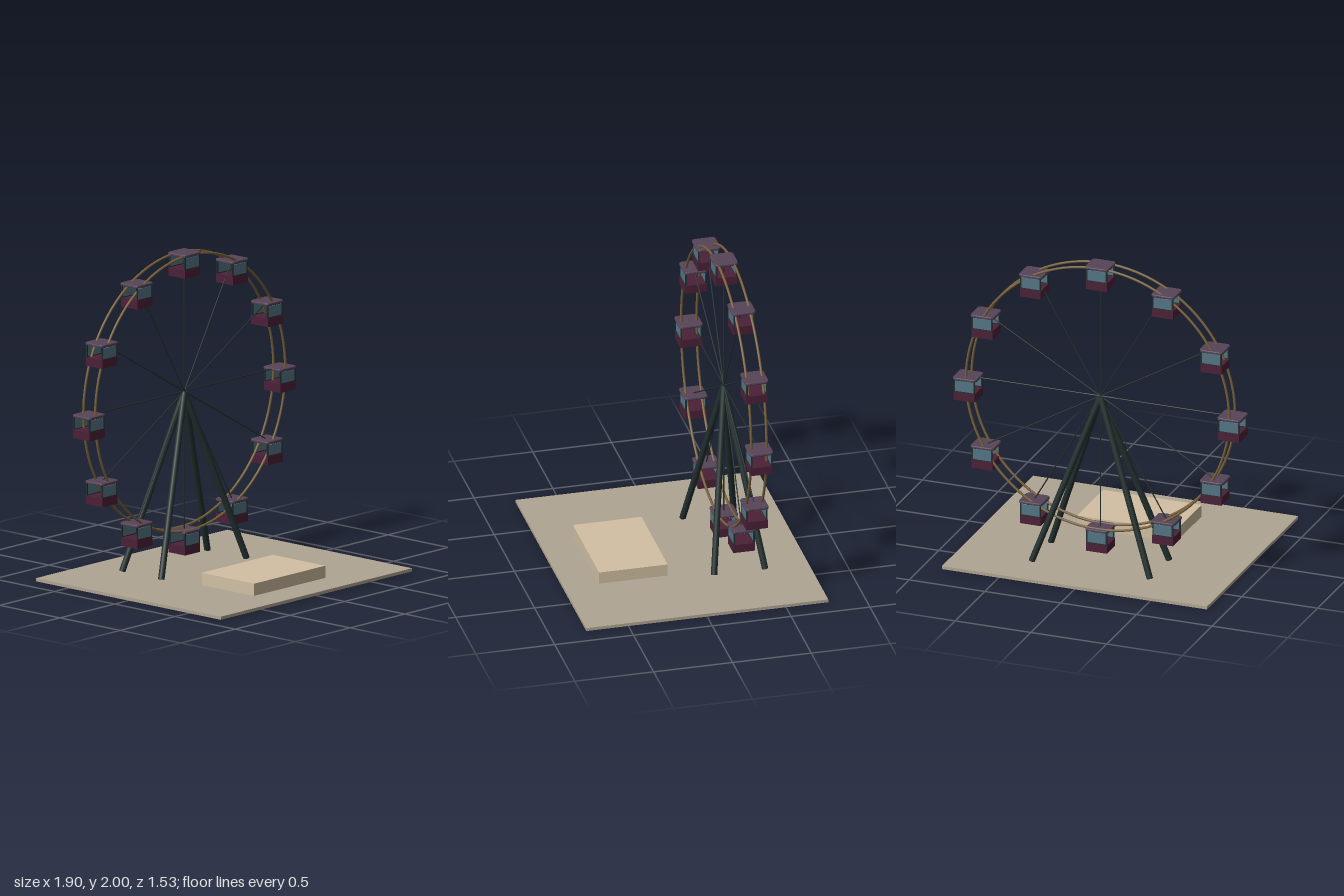
import * as THREE from 'three';

const mat = (name, color) => {
  const m = new THREE.MeshStandardMaterial({ color });
  m.name = name;
  return m;
};

export function createModel() {
  const ground = mat('ground stone', 0xb0a593);
  const sand = mat('platform sand', 0xd2c0a3);
  const steel = mat('dark steel', 0x22302f);
  const bronze = mat('bronze', 0x78603a);
  const plum = mat('roof plum', 0x574458);
  const wine = mat('wine red', 0x4c2037);
  const glass = mat('blue glass', 0x547686);

  const model = new THREE.Group();
  model.name = 'ferrisWheel';
  const HUB = new THREE.Vector3(0, 1.117, -0.329);
  const R = 0.873, COUNT = 12;

  const add = (parent, name, geo, material, x = 0, y = 0, z = 0) => {
    const mesh = new THREE.Mesh(geo, material);
    mesh.name = name;
    mesh.position.set(x, y, z);
    parent.add(mesh);
    return mesh;
  };
  // cylinder running between two points
  const rod = (parent, name, a, b, radius, material, sides) => {
    const dir = b.clone().sub(a);
    const mesh = add(parent, name, new THREE.CylinderGeometry(radius, radius, dir.length(), sides), material);
    mesh.position.copy(a).add(b).multiplyScalar(0.5);
    mesh.quaternion.setFromUnitVectors(new THREE.Vector3(0, 1, 0), dir.normalize());
    return mesh;
  };

  // ground slab and boarding platform
  add(model, 'groundSlab', new THREE.BoxGeometry(1.75, 0.02, 1.535), ground, 0, 0.01, 0);
  add(model, 'boardingPlatform', new THREE.BoxGeometry(0.65, 0.077, 0.435), sand, 0, 0.0585, 0.328);

  // four splayed legs meeting at the hub
  for (const sx of [-1, 1]) for (const sz of [-1, 1]) {
    rod(model, 'supportLeg', new THREE.Vector3(sx * 0.39, 0.022, HUB.z + sz * 0.162),
      new THREE.Vector3(0, HUB.y - 0.005, HUB.z), 0.02, steel, 16);
  }

  // wheel: twin rims, spokes and a thin cross bar at the hub
  const wheel = new THREE.Group();
  wheel.name = 'wheel';
  wheel.position.copy(HUB);
  model.add(wheel);
  for (const z of [-0.049, 0.049]) {
    add(wheel, 'rim', new THREE.TorusGeometry(R - 0.004, 0.008, 10, 96), bronze, 0, 0, z);
  }
  rod(wheel, 'hubBar', new THREE.Vector3(-0.105, 0, 0), new THREE.Vector3(0.105, 0, 0), 0.005, steel, 8);

  // cabin roof: rounded plan with a softened edge
  const w = 0.073, d = 0.07, r = 0.02;
  const plan = new THREE.Shape();
  plan.moveTo(-w + r, -d);
  plan.lineTo(w - r, -d).quadraticCurveTo(w, -d, w, -d + r);
  plan.lineTo(w, d - r).quadraticCurveTo(w, d, w - r, d);
  plan.lineTo(-w + r, d).quadraticCurveTo(-w, d, -w, d - r);
  plan.lineTo(-w, -d + r).quadraticCurveTo(-w, -d, -w + r, -d);
  const roofGeo = new THREE.ExtrudeGeometry(plan, {
    depth: 0.008, bevelEnabled: true, bevelSize: 0.005, bevelThickness: 0.005, bevelSegments: 2, curveSegments: 4,
  });
  roofGeo.rotateX(-Math.PI / 2);
  const tubGeo = new THREE.BoxGeometry(0.138, 0.054, 0.138);
  const paneGeo = new THREE.BoxGeometry(0.122, 0.07, 0.005);
  const postGeo = new THREE.BoxGeometry(0.008, 0.08, 0.008);
  const railGeo = new THREE.BoxGeometry(0.122, 0.006, 0.008);

  const makeCabin = () => {
    const cabin = new THREE.Group();
    cabin.name = 'cabin';
    add(cabin, 'cabinRoof', roofGeo, plum, 0, -0.005, 0);
    add(cabin, 'cabinTub', tubGeo, wine, 0, -0.115, 0);
    for (const sz of [-1, 1]) {
      add(cabin, 'cabinWindow', paneGeo, glass, 0, -0.051, sz * 0.063);
      add(cabin, 'windowRail', railGeo, steel, 0, -0.086, sz * 0.063);
      for (const sx of [-1, 1]) add(cabin, 'cabinPost', postGeo, steel, sx * 0.064, -0.049, sz * 0.063);
    }
    return cabin;
  };

  // a spoke and an upright cabin at each station around the rim
  for (let i = 0; i < COUNT; i++) {
    const a = (i / COUNT) * Math.PI * 2;
    const p = new THREE.Vector3(Math.cos(a) * R, Math.sin(a) * R, 0);
    rod(wheel, 'spoke', new THREE.Vector3(), p.clone().multiplyScalar(0.995), 0.004, steel, 8);
    const cabin = makeCabin();
    cabin.position.copy(p);
    wheel.add(cabin);
  }
  return model;
}
